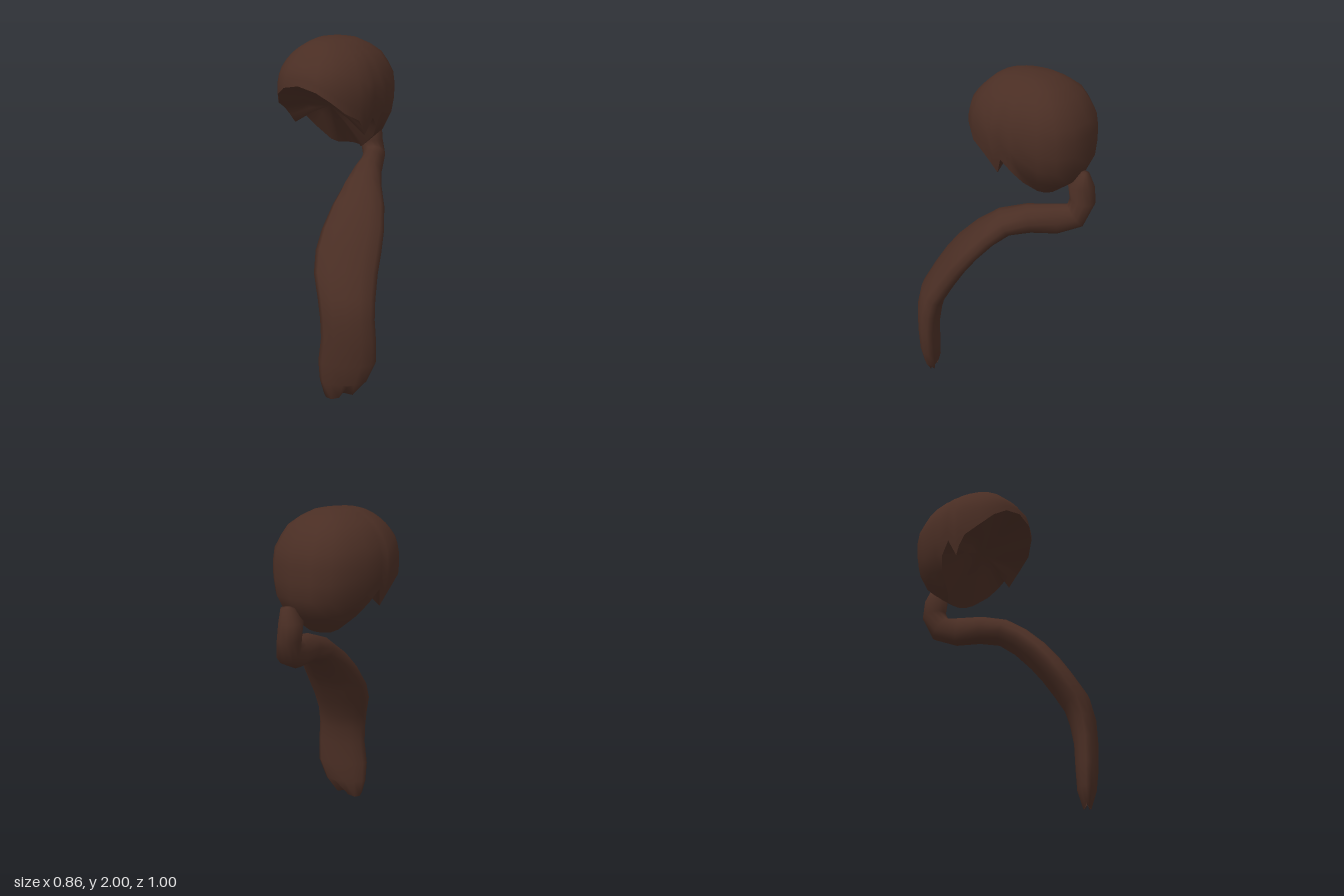
import * as THREE from 'three';
import { mergeVertices } from 'three/addons/utils/BufferGeometryUtils.js';

// Skin a list of closed rings (arrays of Vector3) with smooth normals, ending in a point if given
function loft(rings, endPoint) {
  const n = rings[0].length, pos = [], idx = [];
  rings.forEach(r => r.forEach(p => pos.push(p.x, p.y, p.z)));
  for (let i = 0; i < rings.length - 1; i++) {
    for (let j = 0; j < n; j++) {
      const a = i * n + j, b = i * n + (j + 1) % n;
      idx.push(a, b, a + n, b, b + n, a + n);
    }
  }
  if (endPoint) {
    const base = (rings.length - 1) * n;
    pos.push(endPoint.x, endPoint.y, endPoint.z);
    for (let j = 0; j < n; j++) idx.push(base + j, base + (j + 1) % n, base + n);
  }
  let g = new THREE.BufferGeometry();
  g.setAttribute('position', new THREE.Float32BufferAttribute(pos, 3));
  g.setIndex(idx);
  g = mergeVertices(g, 1e-5);
  g.computeVertexNormals();
  return g;
}

// Height, half width, reach to the front, reach to the back
const PROFILE = [
  [2.0, 0, 0, 0], [1.99, 0.09, 0.13, 0.1], [1.96, 0.15, 0.21, 0.18], [1.9, 0.23, 0.28, 0.27],
  [1.83, 0.27, 0.34, 0.315], [1.76, 0.295, 0.36, 0.355], [1.65, 0.298, 0.36, 0.36],
  [1.55, 0.28, 0.345, 0.36], [1.47, 0.255, 0.3, 0.34], [1.4, 0.19, 0.2, 0.29], [1.32, 0.1, 0.08, 0.17],
];

function profileAt(y) {
  let i = 0;
  while (i < PROFILE.length - 2 && y < PROFILE[i + 1][0]) i++;
  const p = PROFILE[i], q = PROFILE[i + 1], s = v => Math.sqrt(Math.max(0, 2 - v));
  const t = (s(y) - s(p[0])) / (s(q[0]) - s(p[0]));
  return [1, 2, 3].map(k => p[k] + (q[k] - p[k]) * t);
}

// Hairline: angle from the front in degrees, height of the edge
const HAIRLINE = [
  [0, 1.77], [18, 1.745], [34, 1.695], [51, 1.625], [68, 1.575], [75, 1.52], [79, 1.47],
  [86, 1.57], [92, 1.5], [98, 1.43], [115, 1.345], [135, 1.325], [158, 1.325], [180, 1.325],
];

// Rings of the cap from the crown down to the hairline
function capRings() {
  const mirrored = HAIRLINE.slice(1, -1).map(([a, y]) => [-a, y]);
  const columns = [...HAIRLINE.slice().reverse(), ...mirrored];
  const rings = [], rows = 10;
  for (let i = 0; i <= rows; i++) {
    rings.push(columns.map(([deg, rim]) => {
      const y = 2 - (2 - rim) * (i / rows) ** 1.6;
      const [w, front, back] = profileAt(y);
      const a = THREE.MathUtils.degToRad(deg);
      // The back is a little squarer than the front
      const pow = v => Math.sign(v) * Math.abs(v) ** (Math.abs(deg) < 90 ? 0.83 : 0.77);
      const c = pow(Math.cos(a));
      const s = deg === 180 ? 0 : pow(Math.sin(a));
      return new THREE.Vector3(-0.133 + w * s, y, -0.08 + c * (c > 0 ? front : back));
    }));
  }
  return rings;
}

// Shallow hollow that closes the underside of the cap
function liningGeometry(rim) {
  const centre = new THREE.Vector3(-0.133, 1.605, -0.02);
  const middle = rim.map(p => {
    const q = p.clone().lerp(centre, 0.5);
    q.y += 0.012;
    return q;
  });
  return loft([rim, middle], centre);
}

// Ponytail sections: centre x, y, z, half width, half thickness
const TAIL = [
  [-0.112, 1.48, -0.435, 0.04, 0.025], [-0.112, 1.4, -0.412, 0.07, 0.075],
  [-0.112, 1.31, -0.425, 0.07, 0.075], [-0.075, 1.225, -0.4, 0.07, 0.08],
  [-0.025, 1.195, -0.3, 0.07, 0.092], [0.035, 1.186, -0.16, 0.085, 0.085],
  [0.09, 1.15, -0.03, 0.112, 0.077], [0.132, 1.07, 0.073, 0.15, 0.074],
  [0.165, 0.96, 0.175, 0.178, 0.075], [0.187, 0.86, 0.25, 0.187, 0.076],
  [0.215, 0.75, 0.316, 0.18, 0.077], [0.262, 0.63, 0.375, 0.162, 0.08],
  [0.283, 0.52, 0.396, 0.154, 0.076], [0.295, 0.4, 0.402, 0.156, 0.068],
  [0.287, 0.25, 0.405, 0.165, 0.064], [0.265, 0.12, 0.412, 0.135, 0.053],
  [0.245, 0.05, 0.422, 0.09, 0.022],
];
// Ragged tip heights from the left lock round to the right
const TIP = [0.07, 0.03, 0.085, 0.015, 0, 0.008, 0.03];

function tailGeometry() {
  const sides = 12, last = TAIL.length - 1;
  const centres = TAIL.map(([x, y, z]) => new THREE.Vector3(x, y, z));
  const across = new THREE.Vector3(0.85, 0, -0.52).normalize();
  const rings = TAIL.map(([, , , w, d], i) => {
    const dir = centres[Math.min(i + 1, last)].clone().sub(centres[Math.max(i - 1, 0)]);
    const normal = dir.cross(across).normalize();
    return Array.from({ length: sides }, (_, j) => {
      const a = j / sides * Math.PI * 2;
      const p = centres[i].clone()
        .addScaledVector(across, w * Math.cos(a))
        .addScaledVector(normal, d * Math.sin(a));
      if (i === last) p.y = TIP[Math.min(j, sides - j)];
      return p;
    });
  });
  // Close the root by starting from a collapsed ring
  rings.unshift(rings[0].map(() => centres[0].clone().add(new THREE.Vector3(0, 0.006, 0))));
  return loft(rings, new THREE.Vector3(0.245, 0.04, 0.422));
}

export function createModel() {
  const hair = new THREE.MeshStandardMaterial({ color: 0x4a2e24, side: THREE.DoubleSide });
  hair.name = 'dark brown hair';

  const model = new THREE.Group();
  model.name = 'hairstyle';
  const add = (name, geometry) => {
    const mesh = new THREE.Mesh(geometry, hair);
    mesh.name = name;
    model.add(mesh);
  };
  const rings = capRings();
  add('hairCap', loft(rings));
  add('capLining', liningGeometry(rings.at(-1)));
  add('ponytail', tailGeometry());
  return model;
}
